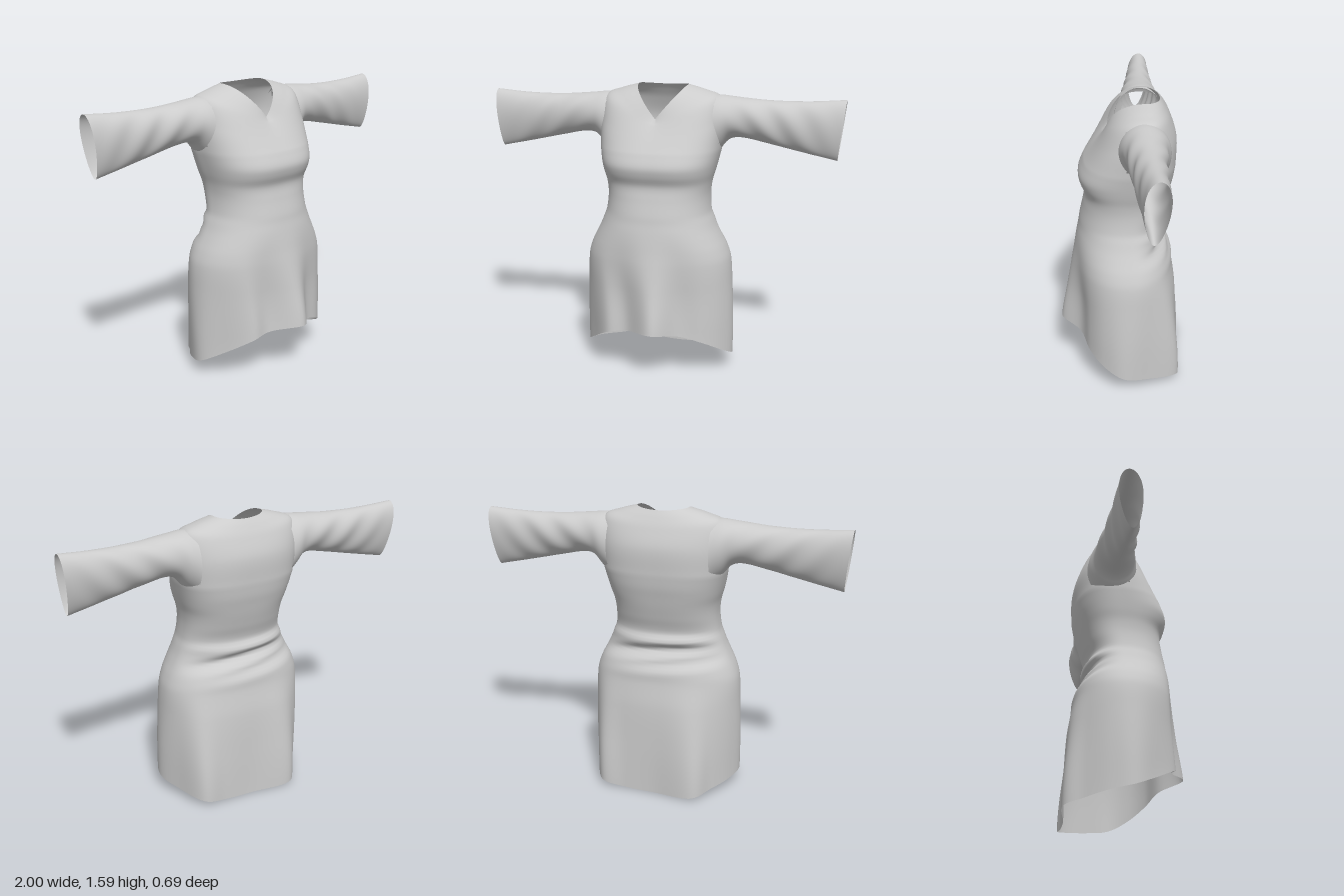
import * as THREE from 'three';

const { sin, cos, abs, sign, pow, PI } = Math;
const lerp = THREE.MathUtils.lerp;

// Smooth interpolation through rows [key, value, value, ...]
function profile(rows, k) {
  const n = rows.length;
  k = Math.min(Math.max(k, rows[0][0]), rows[n - 1][0]);
  let i = 0;
  while (i < n - 2 && k > rows[i + 1][0]) i++;
  const a = rows[i], b = rows[i + 1], h = b[0] - a[0], t = (k - a[0]) / h;
  const p = rows[Math.max(i - 1, 0)], q = rows[Math.min(i + 2, n - 1)];
  return a.slice(1).map((_, j) => {
    j++;
    const ma = (b[j] - p[j]) / (b[0] - p[0]) * h, mb = (q[j] - a[j]) / (q[0] - a[0]) * h;
    const t2 = t * t, t3 = t2 * t;
    return (2 * t3 - 3 * t2 + 1) * a[j] + (t3 - 2 * t2 + t) * ma + (3 * t2 - 2 * t3) * b[j] + (t3 - t2) * mb;
  });
}

// Tube-like surface, closed around u; keep() may leave out faces
function loft(nu, nv, point, keep = () => true) {
  const pos = [], index = [], pts = [];
  for (let j = 0; j <= nv; j++)
    for (let i = 0; i < nu; i++) {
      const p = point(i / nu * 2 * PI, j / nv);
      pts.push(p);
      pos.push(p.x, p.y, p.z);
    }
  for (let j = 0; j < nv; j++)
    for (let i = 0; i < nu; i++) {
      const a = j * nu + i, b = j * nu + (i + 1) % nu, c = a + nu, d = b + nu;
      if (keep(pts[a].clone().add(pts[d]).multiplyScalar(0.5))) index.push(a, c, b, b, c, d);
    }
  const g = new THREE.BufferGeometry();
  g.setAttribute('position', new THREE.Float32BufferAttribute(pos, 3));
  g.setIndex(index);
  g.computeVertexNormals();
  return g;
}

// Height, half width, front z, back z, z of the widest point
const BODY = [
  [0.00, 0.430, 0.355, -0.310, 0.00], [0.27, 0.430, 0.350, -0.308, -0.01],
  [0.50, 0.420, 0.310, -0.300, -0.02], [0.64, 0.408, 0.285, -0.280, -0.03],
  [0.71, 0.385, 0.272, -0.272, -0.03], [0.77, 0.355, 0.262, -0.235, -0.03],
  [0.82, 0.330, 0.253, -0.205, -0.03], [0.87, 0.310, 0.243, -0.228, -0.03],
  [0.91, 0.295, 0.237, -0.205, -0.03], [1.00, 0.286, 0.217, -0.230, -0.04],
  [1.07, 0.292, 0.208, -0.250, -0.04], [1.13, 0.308, 0.232, -0.265, -0.05],
  [1.18, 0.320, 0.240, -0.277, -0.06], [1.25, 0.335, 0.212, -0.287, -0.08],
];
// Hem points all round, from the left side through the front
const HEM = new THREE.CatmullRomCurve3([
  [0.435, 0.085, 0], [0.39, 0.14, 0.11], [0.30, 0.20, 0.19], [0.17, 0.245, 0.24],
  [0.04, 0.275, 0.35], [-0.12, 0.255, 0.25], [-0.24, 0.23, 0.24], [-0.35, 0.15, 0.12],
  [-0.42, 0.085, 0], [-0.39, 0.06, -0.12], [-0.31, 0.035, -0.24], [-0.22, 0.012, -0.34],
  [0, 0, -0.31], [0.17, 0.005, -0.305], [0.31, 0.03, -0.30], [0.39, 0.055, -0.14],
].map(p => new THREE.Vector3(...p)), true, 'catmullrom');

// Rounded section with separate front and back depth
function section(a, [w, zf, zb, zc], e) {
  const c = cos(a), s = sin(a);
  const x = w * sign(c) * pow(abs(c), e), k = pow(abs(s), e);
  return [x, zc + (s > 0 ? zf - zc : zb - zc) * k];
}

// Skirt and waist: draped folds fade out towards the waist
function lowerBody(a, t) {
  const hem = HEM.getPoint(a / (2 * PI));
  const y = lerp(hem.y, 1.25, t);
  const e = lerp(0.9, 0.78, THREE.MathUtils.smoothstep(y, 0.85, 1.15));
  const [x, z] = section(a, profile(BODY, y), e);
  const [hx, hz] = section(a, profile(BODY, hem.y), 0.9);
  const f = 1 - THREE.MathUtils.smoothstep(t, 0, 0.6);
  // slanting creases gathered at the back of the waist
  const back = Math.max(0, -sin(a)), g = Math.exp(-pow((y - 0.8) / 0.07, 2));
  const crease = 0.012 * back * g * sin(y * 75 + x * 9);
  return new THREE.Vector3(x + (hem.x - hx) * f, y, z + (hem.z - hz) * f - crease);
}

// Chest to neckline: rings whose height varies round the body
// t, half width, front z, back z, widest z, side y, front y, back y
const YOKE = [
  [0.00, 0.335, 0.212, -0.287, -0.08, 1.25, 1.25, 1.25],
  [0.35, 0.345, 0.160, -0.288, -0.11, 1.40, 1.325, 1.39],
  [0.60, 0.325, 0.115, -0.255, -0.12, 1.525, 1.385, 1.49],
  [0.80, 0.240, 0.098, -0.225, -0.12, 1.563, 1.402, 1.545],
  [1.00, 0.140, 0.080, -0.200, -0.12, 1.59, 1.42, 1.58],
];
function upperBody(a, t) {
  const [w, zf, zb, zc, ys, yf, yb] = profile(YOKE, t);
  const [x, z] = section(a, [w, zf, zb, zc], lerp(0.78, 1, t));
  const s = sin(a);
  const k = s > 0 ? 1 - pow(abs(cos(a)), lerp(1.6, 1, t)) : s * s;
  return new THREE.Vector3(x, lerp(ys, s > 0 ? yf : yb, k), z);
}

// Sleeve stations: x, top y, bottom y, front z, back z
const SLEEVE = [
  [0.28, 1.540, 1.200, 0.035, -0.245], [0.33, 1.540, 1.245, 0.025, -0.240],
  [0.38, 1.535, 1.298, 0.010, -0.228], [0.45, 1.528, 1.312, 0.000, -0.220],
  [0.60, 1.517, 1.285, -0.020, -0.212], [0.80, 1.517, 1.243, -0.040, -0.210],
  [1.00, 1.530, 1.203, -0.060, -0.210],
];
function sleeve(a, t) {
  const x = lerp(0.28, 1, t), c = cos(a);
  const [top, bottom, zf, zb] = profile(SLEEVE, x);
  const low = (1 - c) / 2;
  const d = (zf - zb) / 2 * (1 - 0.4 * low * t);
  const fold = 0.006 * sin(PI * t) * sin(x * 34 + a * 3);
  return new THREE.Vector3(
    x - 0.035 * low * t,
    (top + bottom) / 2 + (top - bottom) / 2 * c,
    (zf + zb) / 2 + 0.02 * low * t - (d + fold) * sin(a));
}

export function createModel() {
  const group = new THREE.Group();
  const cloth = new THREE.MeshStandardMaterial({ color: 0xcccccc, side: THREE.DoubleSide });
  const add = (name, geometry) => {
    const mesh = new THREE.Mesh(geometry, cloth);
    mesh.name = name;
    group.add(mesh);
    return mesh;
  };

  // One continuous dress body, open at the armholes
  const split = 0.72;
  const armhole = p => abs(p.x) > 0.29 && p.y > 1.29 && p.y < 1.5 && p.z > -0.2 && p.z < -0.01;
  add('dressBody', loft(128, 110, (a, v) => v < split
    ? lowerBody(a, v / split)
    : upperBody(a, (v - split) / (1 - split)), p => !armhole(p)));

  // Wide mirrored sleeves
  const geometry = loft(56, 60, sleeve);
  add('leftSleeve', geometry);
  add('rightSleeve', geometry).scale.x = -1;

  return group;
}
